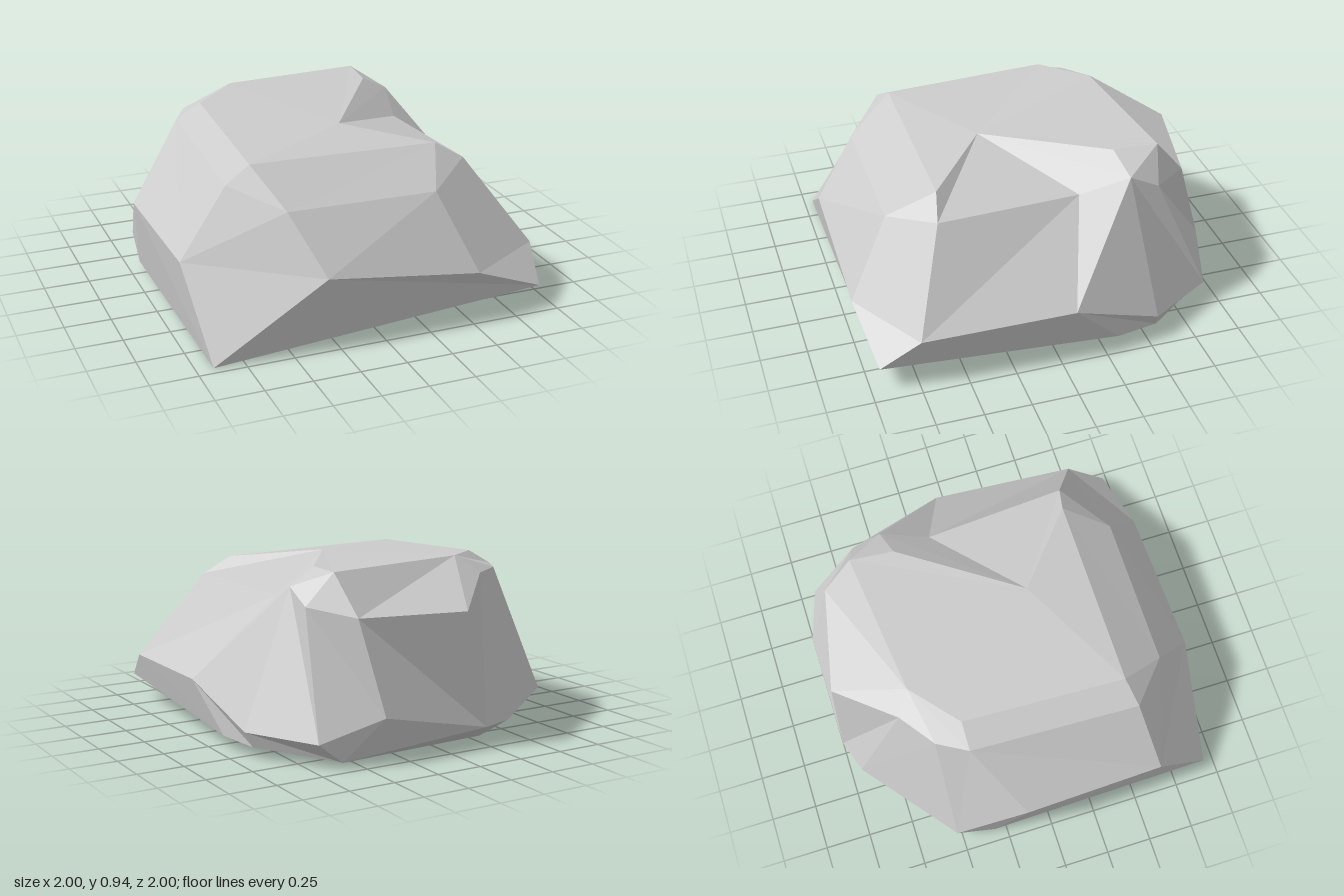
import * as THREE from 'three';

// Corners of the boulder, level by level: letter -> [x, y, z]
const foot = {
  D: [-0.91, 0, 0.95], C: [0.91, 0.13, 0.95], P: [0.95, 0.07, -0.33], S: [0.9, 0.06, -0.56],
  Q: [0.6, 0.03, -0.935], O: [-0.27, 0.025, -0.87], Z: [-0.77, 0.03, -0.53], R: [-0.94, 0.04, -0.32],
};
const waist = {
  A: [-0.32, 0.4, 1], B: [0.52, 0.29, 1], F: [0.96, 0.29, 0.74], M: [1, 0.32, -0.07],
  N: [0.94, 0.14, -0.55], T: [0.72, 0.13, -0.91], U: [0.39, 0.24, -1], V: [-0.22, 0.11, -1],
  Y: [-0.4, 0.11, -0.94], X: [-0.92, 0.13, -0.53], W: [-1, 0.47, -0.15], E: [-0.97, 0.44, 0.62],
};
const shoulder = {
  G: [-0.45, 0.69, 0.77], H: [0.37, 0.68, 0.77], L: [0.63, 0.76, 0.555], a: [0.58, 0.75, -0.22],
  b: [0.64, 0.84, -0.48], c: [0.64, 0.76, -0.64], d: [0.46, 0.72, -0.85], e: [-0.11, 0.72, -0.97],
  k: [-0.4, 0.85, -0.67], l: [-0.59, 0.845, -0.53], m: [-0.68, 0.84, -0.37], K: [-0.7, 0.79, 0.555],
};
const crown = {
  I: [-0.56, 0.87, 0.52], J: [0.48, 0.85, 0.52], h: [0.07, 0.9, 0.18], g: [0.48, 0.925, -0.44],
  f: [0.5, 0.93, -0.68], i: [-0.29, 0.94, -0.59], j: [-0.54, 0.92, -0.37],
};

// Facets as loops of corners; each is fanned from its first corner
const facets = [
  'DCPSQOZR',                                                  // underside
  'ABCD', 'ABHG', 'GHJI', 'GIKEA', 'DAE', 'HJLFB', 'BFC',      // front
  'FMPC', 'MNSP', 'NTQS', 'FLaM', 'MabN', 'bcTN',              // left flank
  'cdUT', 'dUVe', 'cfd', 'fdeki'.replace('fdeki', 'ifdek'),    // back
  'QTUVO', 'VYO', 'YXZO', 'XRZ',                               // back foot
  'keVY', 'lkYX', 'mlXW', 'mWEK', 'DEWR', 'WXR', 'iklmj', 'mjIK', // right flank
  'habg', 'hJLa', 'bgfc',                                      // notch
  'hgfij', 'hjIJ',                                             // crown
];

// Fans the loops into triangles, turned to face away from the core
function facetedGeometry(corners, loops, core) {
  const positions = [];
  for (const loop of loops) {
    const pts = [...loop].map((n) => new THREE.Vector3(...corners[n]));
    const normal = new THREE.Vector3();
    const centre = new THREE.Vector3();
    pts.forEach((p, n) => {
      normal.add(p.clone().cross(pts[(n + 1) % pts.length]));
      centre.addScaledVector(p, 1 / pts.length);
    });
    if (normal.dot(centre.sub(core)) < 0) pts.reverse().unshift(pts.pop());
    for (let n = 1; n < pts.length - 1; n++) {
      for (const p of [pts[0], pts[n], pts[n + 1]]) positions.push(p.x, p.y, p.z);
    }
  }
  const geometry = new THREE.BufferGeometry();
  geometry.setAttribute('position', new THREE.Float32BufferAttribute(positions, 3));
  geometry.computeVertexNormals();
  return geometry;
}

export function createModel() {
  const group = new THREE.Group();
  group.name = 'rock';
  const corners = { ...foot, ...waist, ...shoulder, ...crown };
  const boulder = new THREE.Mesh(
    facetedGeometry(corners, facets, new THREE.Vector3(0, 0.35, 0)),
    new THREE.MeshStandardMaterial({ color: 0xcccccc, flatShading: true }),
  );
  boulder.name = 'boulder';
  group.add(boulder);
  return group;
}
